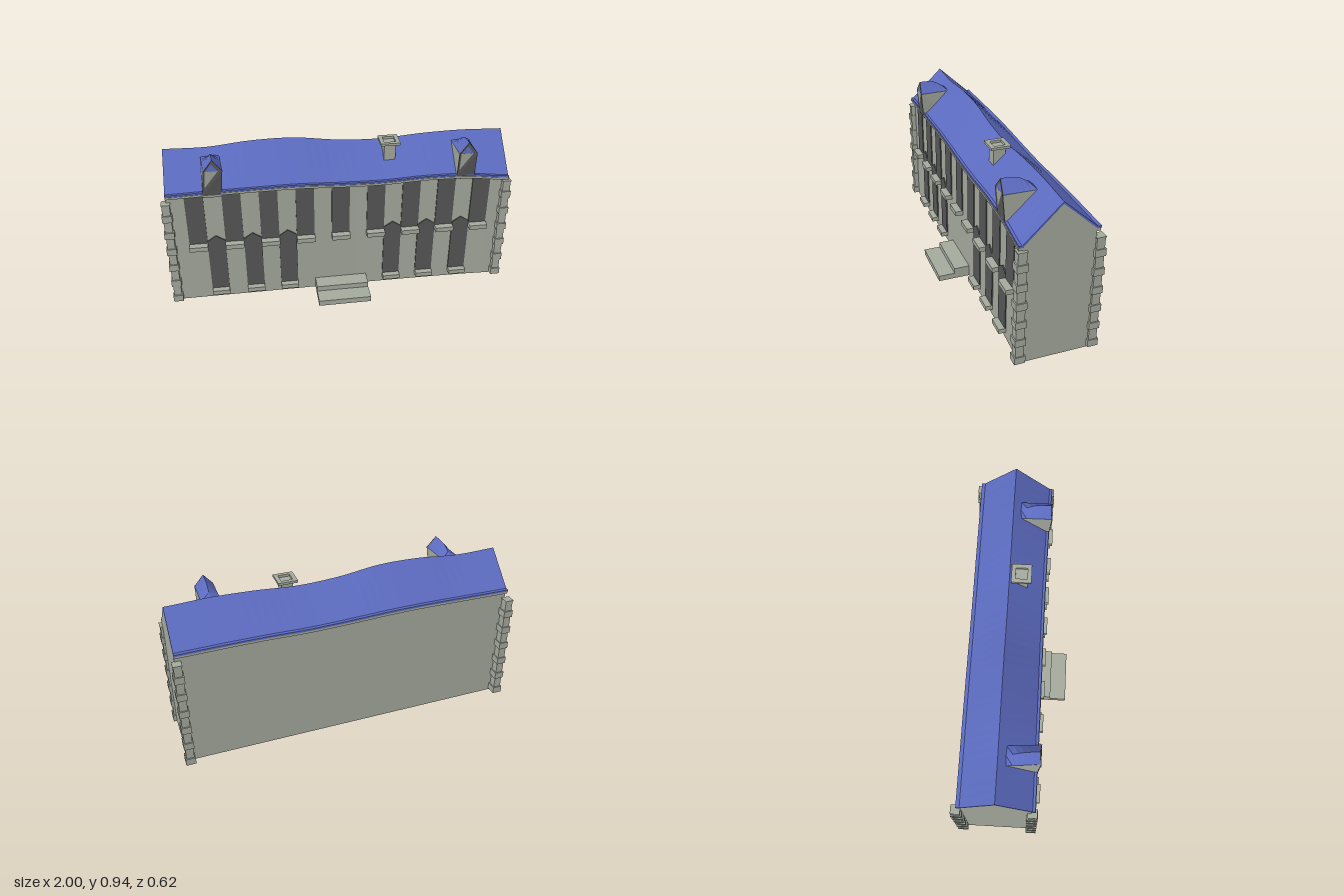
import * as THREE from 'three';

const stone = new THREE.MeshStandardMaterial({ name: 'stone', color: 0xa5aa9e });
const slate = new THREE.MeshStandardMaterial({ name: 'blue slate', color: 0x5c6bc0 });
const glass = new THREE.MeshStandardMaterial({ name: 'dark glass', color: 0x575757 });

const X0 = -0.97, X1 = 0.98;

// Smooth wavy line along the length of the house, from evenly spaced heights
function wave(values) {
  const curve = new THREE.SplineCurve(values.map((v, i) => new THREE.Vector2(i, v)));
  return x => curve.getPoint(THREE.MathUtils.clamp((x - X0) / (X1 - X0), 0, 1)).y;
}
const ridge = wave([0.912, 0.908, 0.93, 0.931, 0.9, 0.889, 0.905, 0.911, 0.902]);
const eaveFront = wave([0.73, 0.735, 0.738, 0.738, 0.727, 0.722, 0.732, 0.728, 0.704]);
const eaveBack = wave([0.735, 0.739, 0.744, 0.743, 0.735, 0.73, 0.735, 0.735, 0.732]);
const wall = wave([0.122, 0.122, 0.122, 0.121, 0.12, 0.12, 0.122, 0.126, 0.134]);
const BACK = -0.25, RIDGE_Z = -0.065;

// Closed solid through rings of points, with flat ends
function loft(rings) {
  const pos = [];
  const tri = (...pts) => pts.forEach(p => pos.push(...p));
  const n = rings[0].length;
  for (let i = 0; i < rings.length - 1; i++) {
    for (let j = 0; j < n; j++) {
      const k = (j + 1) % n;
      const a = rings[i][j], b = rings[i][k], c = rings[i + 1][k], d = rings[i + 1][j];
      tri(a, b, c);
      tri(a, c, d);
    }
  }
  const first = rings[0], last = rings[rings.length - 1];
  for (let j = 1; j < n - 1; j++) {
    tri(last[0], last[j], last[j + 1]);
    tri(first[0], first[j + 1], first[j]);
  }
  const g = new THREE.BufferGeometry();
  g.setAttribute('position', new THREE.Float32BufferAttribute(pos, 3));
  g.computeVertexNormals();
  return g;
}

// Solid along x; section(x) lists [y, z] corners running top, front, bottom, back
function alongX(section, steps = 40) {
  const rings = [];
  for (let i = 0; i <= steps; i++) {
    const x = X0 + (X1 - X0) * i / steps;
    rings.push(section(x).map(([y, z]) => [x, y, z]));
  }
  return loft(rings);
}

export function createModel() {
  const model = new THREE.Group();
  model.name = 'house';

  function add(name, geometry, material, parent = model) {
    const mesh = new THREE.Mesh(geometry, material);
    mesh.name = name;
    parent.add(mesh);
    return mesh;
  }
  function box(name, x0, x1, y0, y1, z0, z1, material = stone, parent = model) {
    const mesh = add(name, new THREE.BoxGeometry(x1 - x0, y1 - y0, z1 - z0), material, parent);
    mesh.position.set((x0 + x1) / 2, (y0 + y1) / 2, (z0 + z1) / 2);
    return mesh;
  }

  // Walls with gable ends
  add('walls', alongX(x => [
    [ridge(x) - 0.012, RIDGE_Z], [eaveFront(x) - 0.01, wall(x)], [0, wall(x)],
    [0, BACK], [eaveBack(x) - 0.01, BACK],
  ]), stone);

  // Roof slopes
  add('frontRoof', alongX(x => [
    [ridge(x), RIDGE_Z], [eaveFront(x), wall(x) + 0.004],
    [eaveFront(x) - 0.012, wall(x) + 0.002], [ridge(x) - 0.013, RIDGE_Z],
  ]), slate);
  add('backRoof', alongX(x => [
    [ridge(x), RIDGE_Z], [ridge(x) - 0.013, RIDGE_Z],
    [eaveBack(x) - 0.012, BACK - 0.002], [eaveBack(x), BACK - 0.004],
  ]), slate);

  // Blue gutters over stone cornices
  const strip = (eave, top, bottom, z0, z1) => alongX(x => [
    [eave(x) - top, z0(x)], [eave(x) - top, z1(x)], [eave(x) - bottom, z1(x)], [eave(x) - bottom, z0(x)],
  ]);
  const inFront = x => wall(x) - 0.005;
  const outFront = x => wall(x) + 0.019;
  add('frontGutter', strip(eaveFront, 0, 0.011, inFront, outFront), slate);
  add('frontCornice', strip(eaveFront, 0.011, 0.024, inFront, x => wall(x) + 0.022), stone);
  add('backGutter', strip(eaveBack, 0, 0.011, () => BACK - 0.024, () => BACK + 0.005), slate);
  add('backCornice', strip(eaveBack, 0.011, 0.026, () => BACK - 0.02, () => BACK + 0.005), stone);

  // Upper windows with sills
  for (let i = 0; i < 9; i++) {
    const x = -0.818 + i * 0.2055, z = wall(x);
    box('upperWindow', x - 0.052, x + 0.052, 0.39, eaveFront(x) - 0.018, z - 0.003, z + 0.006, glass);
    box('upperSill', x - 0.053, x + 0.053, 0.362, 0.39, z - 0.005, z + 0.046);
  }

  // Lower pointed windows with sills
  for (const x of [-0.717, -0.508, -0.306, 0.313, 0.517, 0.725]) {
    const z = wall(x);
    const shape = new THREE.Shape([[-0.051, 0.065], [0.051, 0.065], [0.051, 0.4], [0, 0.435], [-0.051, 0.4]]
      .map(p => new THREE.Vector2(...p)));
    add('lowerWindow', new THREE.ExtrudeGeometry(shape, { depth: 0.009, bevelEnabled: false }), glass)
      .position.set(x, 0, z - 0.002);
    box('lowerSill', x - 0.051, x + 0.051, 0.038, 0.065, z - 0.005, z + 0.042);
  }

  // Corner pillars: a shaft, six blocks and a thin cap
  for (const [x, z] of [[-0.971, 0.127], [0.971, 0.139], [-0.971, -0.28], [0.971, -0.271]]) {
    const pillar = new THREE.Group();
    pillar.name = 'cornerPillar';
    const part = (name, rx, rz, y0, y1) =>
      box(name, x - rx, x + rx, y0, y1, z - rz, z + rz, stone, pillar);
    part('shaft', 0.022, 0.023, 0.01, 0.67);
    part('cap', 0.025, 0.026, 0.67, 0.676);
    for (let i = 0; i < 6; i++) part('block', 0.028, 0.03, 0.01 + i * 0.111, 0.052 + i * 0.111);
    model.add(pillar);
  }

  // Front steps
  box('lowerStep', -0.15, 0.16, 0, 0.034, 0.1, 0.308);
  box('upperStep', -0.15, 0.16, 0.034, 0.066, 0.1, 0.211);

  // Dormers: stone cheeks, dark pointed face, sagging slate top
  for (const [x, lean] of [[-0.713, 0.016], [0.723, 0]]) {
    const dormer = new THREE.Group();
    dormer.name = 'dormer';
    const w = 0.052, t = x + lean;
    const ring = (c, top, z0, z1) => [
      [x - w, 0.7, z0], [x + w, 0.7, z0], [top + w, c, z1], [top - w, c, z1],
    ];
    add('dormerCheeks', loft([ring(0.868, x, -0.03, -0.03), ring(0.87, t, 0.14, 0.155)]), stone, dormer);
    const sag = [[-0.024, 0.872], [0.01, 0.898], [0.04, 0.917], [0.07, 0.929], [0.11, 0.934], [0.155, 0.935]];
    add('dormerRoof', loft(sag.map(([z, y]) => {
      const c = x + lean * (z + 0.024) / 0.179;
      const zTop = Math.min(z, 0.148);
      return [[c - w, 0.869, z], [c + w, 0.869, z], [c, y, zTop]];
    })), slate, dormer);
    const face = z => [
      [x - w, 0.715, 0.141 + z], [x + w, 0.715, 0.141 + z],
      [t + w, 0.87, 0.155 + z], [t, 0.935, 0.148 + z], [t - w, 0.87, 0.155 + z],
    ];
    add('dormerWindow', loft([face(-0.002), face(0.003)]), glass, dormer);
    model.add(dormer);
  }

  // Chimney with an open collar
  const cx = 0.298, cz = 0.002;
  box('chimneyShaft', cx - 0.033, cx + 0.033, 0.79, 0.9, cz - 0.035, cz + 0.035);
  const square = r => [[-r, -r], [r, -r], [r, r], [-r, r]].map(p => new THREE.Vector2(...p));
  const collar = new THREE.Shape(square(0.056));
  collar.holes.push(new THREE.Path(square(0.033).reverse()));
  const cap = add('chimneyCollar', new THREE.ExtrudeGeometry(collar, { depth: 0.014, bevelEnabled: false }), stone);
  cap.rotation.x = -Math.PI / 2;
  cap.position.set(cx, 0.9, cz);

  return model;
}
